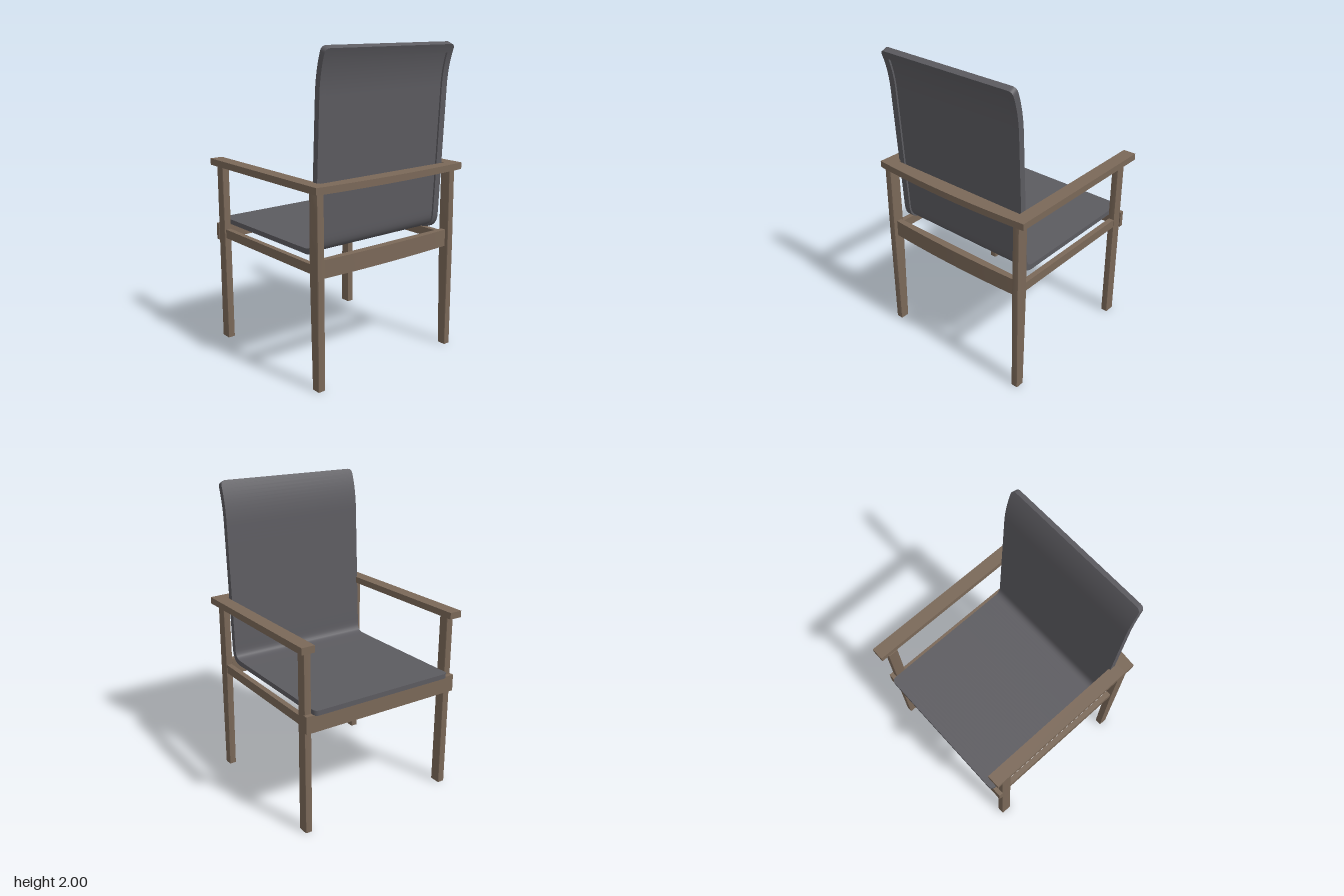
import * as THREE from 'three';
import { toCreasedNormals } from 'three/addons/utils/BufferGeometryUtils.js';

const wood = new THREE.MeshStandardMaterial({ color: 0x7a6858 });
const fabric = new THREE.MeshStandardMaterial({ color: 0x5c5b60 });

function part(name, geometry, material) {
  const mesh = new THREE.Mesh(geometry, material);
  mesh.name = name;
  return mesh;
}

// Box given by its limits on each axis
function bar(name, [x0, x1], [y0, y1], [z0, z1]) {
  const g = new THREE.BoxGeometry(x1 - x0, y1 - y0, z1 - z0);
  g.translate((x0 + x1) / 2, (y0 + y1) / 2, (z0 + z1) / 2);
  return part(name, g, wood);
}

// Leg with softened edges; its x range changes from bottom through knee to top
function leg(name, stations, [z0, z1], top) {
  const r = 0.12, s = new THREE.Shape();
  s.moveTo(r, 0);
  s.lineTo(1 - r, 0);
  s.quadraticCurveTo(1, 0, 1, r);
  s.lineTo(1, 1 - r);
  s.quadraticCurveTo(1, 1, 1 - r, 1);
  s.lineTo(r, 1);
  s.quadraticCurveTo(0, 1, 0, 1 - r);
  s.lineTo(0, r);
  s.quadraticCurveTo(0, 0, r, 0);
  const g = new THREE.ExtrudeGeometry(s, { depth: 1, steps: 10, bevelEnabled: false, curveSegments: 3 });
  g.rotateX(-Math.PI / 2); // height is now y, depth runs 0 to -1 in z
  const p = g.attributes.position;
  for (let i = 0; i < p.count; i++) {
    const y = p.getY(i) * top;
    let k = 0;
    while (k < stations.length - 2 && y > stations[k + 1][0]) k++;
    const [ya, a0, a1] = stations[k], [yb, b0, b1] = stations[k + 1];
    const t = (y - ya) / (yb - ya);
    const lo = a0 + (b0 - a0) * t, hi = a1 + (b1 - a1) * t;
    p.setXYZ(i, lo + (hi - lo) * p.getX(i), y, z1 + (z1 - z0) * p.getZ(i));
  }
  return part(name, toCreasedNormals(g, 0.6), wood);
}

// Horizontal rail whose outer edge bows backward
function bowedRail(name, inner, ends, middle, [y0, y1], [z0, z1]) {
  const s = new THREE.Shape();
  s.moveTo(inner, -z0);
  s.lineTo(inner, -z1);
  s.lineTo(ends, -z1);
  s.quadraticCurveTo(2 * middle - ends, -(z0 + z1) / 2, ends, -z0);
  const g = new THREE.ExtrudeGeometry(s, { depth: y1 - y0, bevelEnabled: false, curveSegments: 16 });
  g.rotateX(-Math.PI / 2);
  g.translate(0, y0, 0);
  return part(name, toCreasedNormals(g, 0.5), wood);
}

// One bent sheet for seat and back, with a raised border on its rear side
function seatShell() {
  const path = new THREE.Path();
  path.moveTo(-0.575, 0.81);
  path.lineTo(0.34, 0.81);
  path.bezierCurveTo(0.39, 0.808, 0.425, 0.82, 0.43, 0.89);
  path.lineTo(0.472, 1.74);
  path.quadraticCurveTo(0.482, 1.88, 0.53, 1.99);
  const L = path.getLength(), W = 0.505, zc = 0.006, r = 0.03, border = 0.055;

  // Distances along the path, denser at both rounded ends
  const near = [0, 0.002, 0.006, 0.012, 0.02, 0.03, border];
  const stations = near.map(d => [d, 0]);
  const n = 90;
  for (let i = 0; i <= n; i++) stations.push([border + (L - 2 * border) * i / n, 0.012]);
  near.slice().reverse().forEach(d => stations.push([L - d, 0]));

  const rings = stations.map(([d, recess]) => {
    const c = path.getPointAt(d / L), t = path.getTangentAt(d / L);
    const e = Math.min(d, L - d, r);
    const w = W - r + Math.sqrt(r * r - (r - e) ** 2);
    const h = 0.016 + 0.004 * THREE.MathUtils.smoothstep(d, 0.8, 1.1);
    const wi = W - 0.045;
    return [[w, h], [-w, h], [-w, -h], [-wi, -h], [-wi, recess - h], [wi, recess - h], [wi, -h], [w, -h]]
      .map(([z, k]) => [c.x - t.y * k, c.y + t.x * k, z + zc]);
  });

  const v = [], tri = (a, b, c) => v.push(...a, ...b, ...c);
  for (let i = 0; i < rings.length - 1; i++) {
    const A = rings[i], B = rings[i + 1];
    for (let j = 0; j < 8; j++) {
      const k = (j + 1) % 8;
      tri(A[j], B[j], A[k]);
      tri(B[j], B[k], A[k]);
    }
  }
  const first = rings[0], last = rings[rings.length - 1];
  for (let j = 1; j < 7; j++) {
    tri(first[0], first[j], first[j + 1]);
    tri(last[0], last[j + 1], last[j]);
  }
  const g = new THREE.BufferGeometry();
  g.setAttribute('position', new THREE.Float32BufferAttribute(v, 3));
  return part('seatShell', toCreasedNormals(g, 0.6), fabric);
}

export function createModel() {
  const chair = new THREE.Group();
  chair.name = 'armchair';
  chair.add(seatShell());

  // Legs, armrest and lower rail on each side
  const sides = [
    { tag: 'A', legZ: [0.52, 0.57], armZ: [0.5, 0.587], railZ: [0.525, 0.56] },
    { tag: 'B', legZ: [-0.545, -0.498], armZ: [-0.59, -0.503], railZ: [-0.54, -0.505] },
  ];
  for (const { tag, legZ, armZ, railZ } of sides) {
    chair.add(
      leg('frontLeg' + tag, [[0, -0.532, -0.457], [1.195, -0.532, -0.463]], legZ, 1.195),
      leg('backLeg' + tag, [[0, 0.488, 0.548], [0.72, 0.466, 0.546], [1.195, 0.466, 0.54]], legZ, 1.195),
      bar('armrest' + tag, [-0.583, 0.485], [1.192, 1.235], armZ),
      bar('sideRail' + tag, [-0.48, 0.49], [0.71, 0.768], railZ),
    );
  }

  // Cross members at front and back
  chair.add(
    bar('frontApron', [-0.56, -0.53], [0.685, 0.796], [-0.55, 0.572]),
    bowedRail('backRail', 0.485, 0.52, 0.535, [0.685, 0.796], [-0.51, 0.53]),
    bowedRail('topBackRail', 0.485, 0.557, 0.582, [1.192, 1.235], [-0.59, 0.587]),
  );
  return chair;
}
